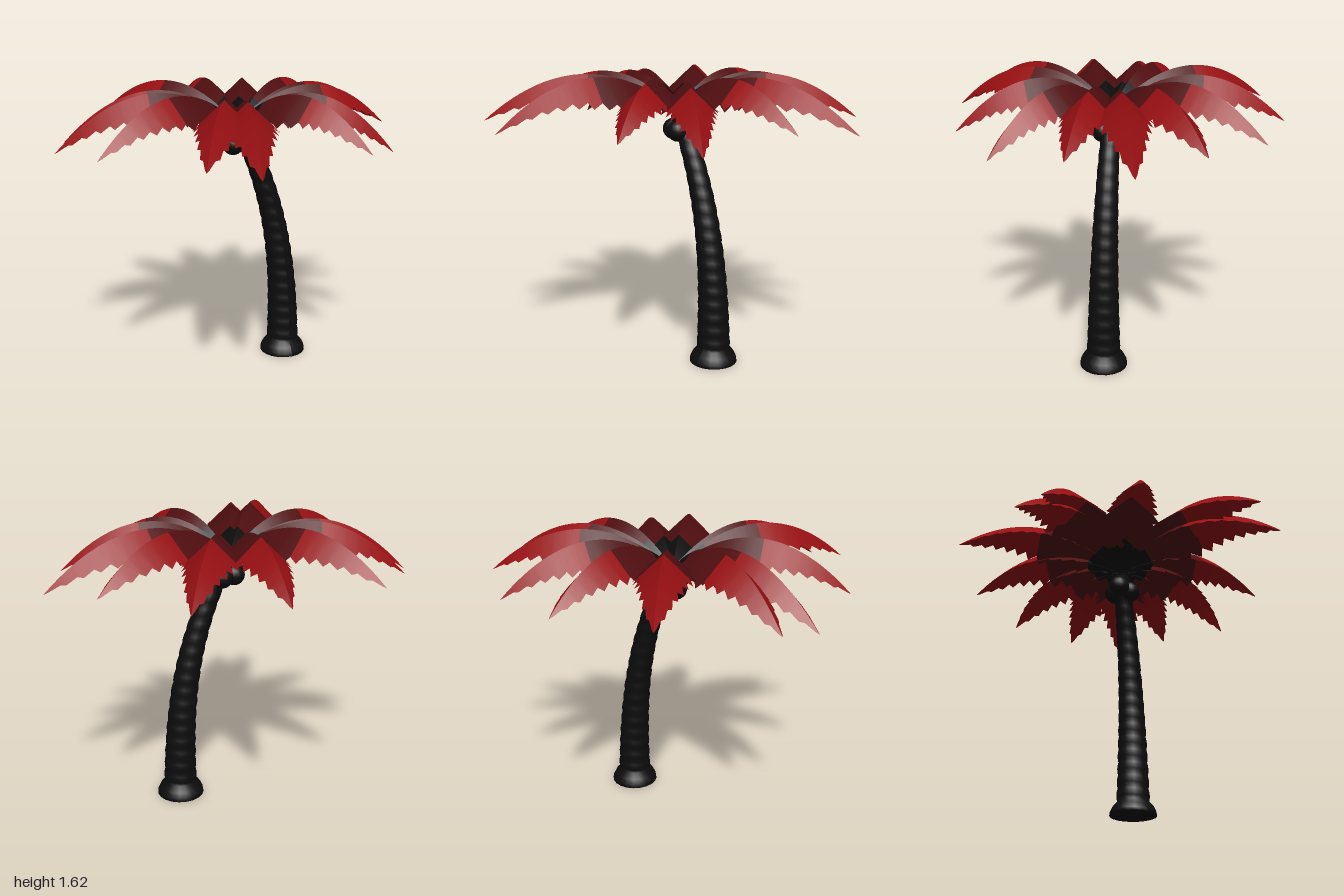
import * as THREE from 'three';

const black = new THREE.MeshStandardMaterial({ color: 0x0d0d0d, side: THREE.DoubleSide });
black.name = 'black';
const darkRed = new THREE.MeshStandardMaterial({ color: 0x500e10, side: THREE.DoubleSide });
darkRed.name = 'dark red';
const red = new THREE.MeshStandardMaterial({ color: 0x960f12, side: THREE.DoubleSide });
red.name = 'red';

const CROWN = { x: -0.02, y: 1.41, z: -0.025 };

// Half width of a frond at t = 0 (crown) to 1 (tip)
const WIDTHS = [[0, 0.03], [0.2, 0.105], [0.36, 0.155], [0.5, 0.145], [0.7, 0.1], [0.88, 0.05], [1, 0]];
function halfWidth(t) {
  for (let i = 1; i < WIDTHS.length; i++) {
    const [t0, w0] = WIDTHS[i - 1], [t1, w1] = WIDTHS[i];
    if (t <= t1) return THREE.MathUtils.lerp(w0, w1, (t - t0) / (t1 - t0));
  }
  return 0;
}

// One colour band of a frond: a roof-shaped strip with toothed edges, running along +x
function frondBand(r0, r1, steps, length, drop) {
  const rise = 0.845;
  const ridgeY = (t) => rise * t + (drop - rise) * t * t;
  const pos = [], index = [];
  for (const side of [1, -1]) {
    const first = pos.length / 3;
    for (let i = 0; i <= steps; i++) {
      const r = THREE.MathUtils.lerp(r0, r1, i / steps);
      const tooth = i % 2 === 1;
      const rEdge = tooth ? r + 0.4 * (r1 - r0) / steps : r;
      const w = halfWidth(Math.min(rEdge / length, 1)) * (tooth ? 1.1 : 0.87);
      pos.push(r, ridgeY(r / length), 0);
      pos.push(rEdge, ridgeY(rEdge / length) - 0.95 * w, side * w);
    }
    for (let i = 0; i < steps; i++) {
      const a = first + 2 * i, b = a + 1, c = a + 2, d = a + 3;
      if (side > 0) index.push(a, b, c, b, d, c);
      else index.push(a, c, b, b, c, d);
    }
  }
  const geo = new THREE.BufferGeometry();
  geo.setAttribute('position', new THREE.Float32BufferAttribute(pos, 3));
  geo.setIndex(index);
  geo.computeVertexNormals();
  return geo;
}

// Frond from the crown centre to a tip position
function makeFrond([x, y, z]) {
  const dx = x - CROWN.x, dz = z - CROWN.z;
  const length = Math.hypot(dx, dz);
  const frond = new THREE.Group();
  frond.name = 'frond';
  const bands = [
    ['frondBase', 0, 0.18, 4, black],
    ['frondMiddle', 0.18, 0.49, 8, darkRed],
    ['frondTip', 0.49, length, 14, red],
  ];
  for (const [name, r0, r1, steps, material] of bands) {
    const mesh = new THREE.Mesh(frondBand(r0, r1, steps, length, y - CROWN.y), material);
    mesh.name = name;
    frond.add(mesh);
  }
  frond.position.set(CROWN.x, CROWN.y, CROWN.z);
  frond.rotation.y = -Math.atan2(dz, dx);
  return frond;
}

// Ringed trunk: a turned profile bent sideways with height
function makeTrunk() {
  const top = 1.38, rings = 17, perRing = 4, start = 0.08;
  const profile = [[0, 0], [0.135, 0], [0.132, 0.02], [0.118, 0.05]];
  for (let i = 0; i <= rings * perRing; i++) {
    const y = start + (top - start) * i / (rings * perRing);
    const bulge = Math.sin(Math.PI * (i % perRing) / perRing);
    profile.push([(0.093 - 0.033 * y) * (1 + 0.07 * bulge), y]);
  }
  profile.push([0, top]);
  const geo = new THREE.LatheGeometry(profile.map(([r, y]) => new THREE.Vector2(r, y)), 20);
  const p = geo.attributes.position;
  for (let i = 0; i < p.count; i++) {
    const y = p.getY(i);
    const slope = 0.31 * Math.pow(y, 1.7);
    p.setX(i, p.getX(i) * Math.hypot(1, slope) + 0.28 - 0.115 * Math.pow(y, 2.7));
  }
  geo.computeVertexNormals();
  const trunk = new THREE.Mesh(geo, black);
  trunk.name = 'trunk';
  trunk.position.z = CROWN.z;
  return trunk;
}

export function createModel() {
  const model = new THREE.Group();
  model.name = 'palmTree';
  model.add(makeTrunk());

  // Nuts under the crown
  for (const [x, z] of [[-0.045, -0.025], [0.035, 0.02], [0.035, -0.07]]) {
    const nut = new THREE.Mesh(new THREE.SphereGeometry(0.06, 16, 12), black);
    nut.name = 'coconut';
    nut.position.set(x, 1.3, z);
    model.add(nut);
  }

  // Frond tips, clockwise from the back
  const tips = [
    [-0.03, 1.38, -0.95], [0.41, 1.36, -0.86], [0.78, 1.39, -0.59], [1, 1.345, -0.29],
    [0.88, 1.37, 0.05], [0.67, 1.29, 0.48], [0.37, 1.35, 0.74], [-0.33, 1.34, 0.95],
    [-0.56, 1.38, 0.87], [-0.9, 1.35, 0.33], [-1, 1.3, -0.17], [-0.91, 1.32, -0.35],
    [-0.55, 1.4, -0.83],
  ];
  const crown = new THREE.Group();
  crown.name = 'crown';
  for (const tip of tips) crown.add(makeFrond(tip));
  model.add(crown);
  return model;
}
